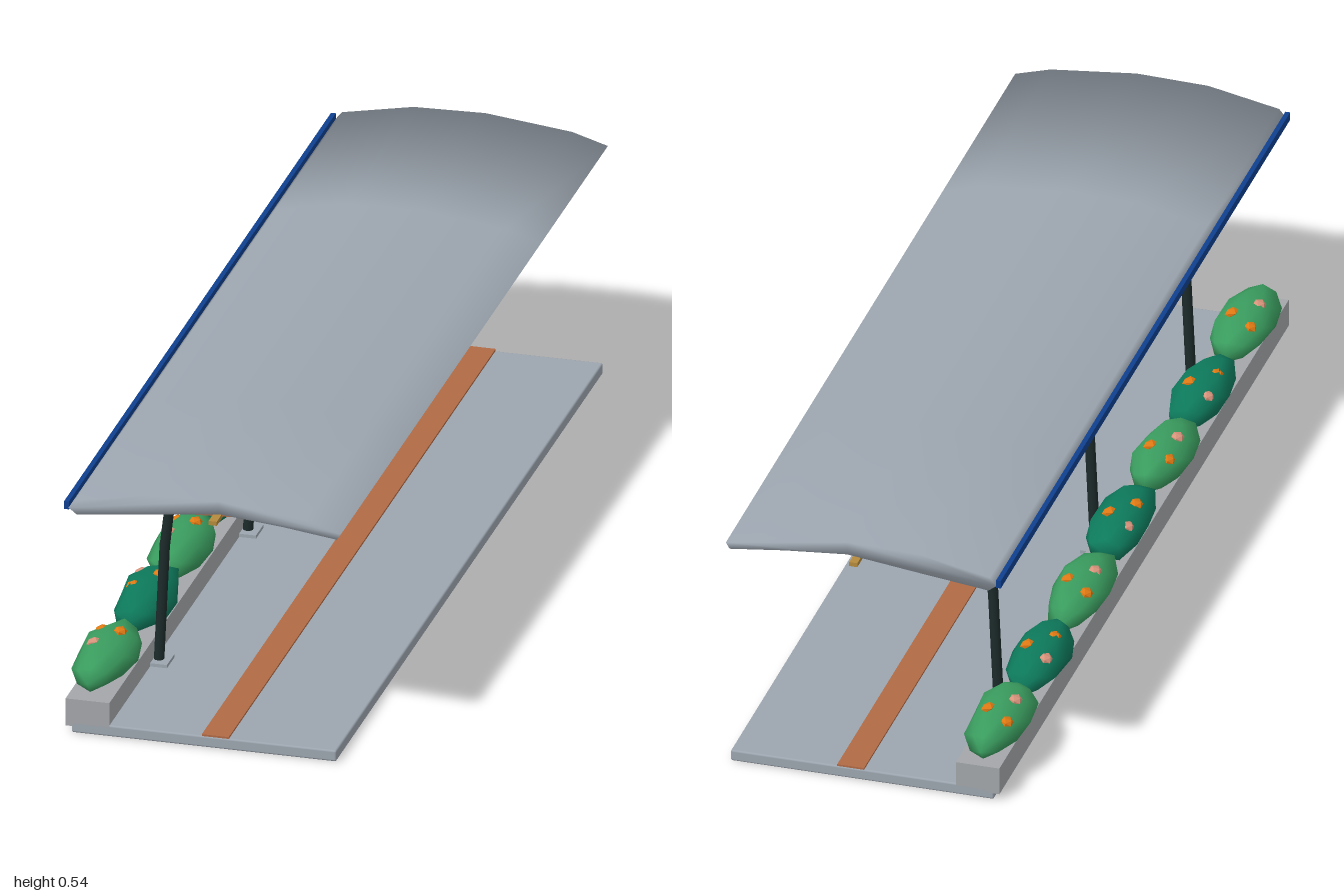
import * as THREE from 'three';
import { mergeVertices } from 'three/addons/utils/BufferGeometryUtils.js';
import { RoundedBoxGeometry } from 'three/addons/geometries/RoundedBoxGeometry.js';

const mat = (name, color) => {
  const m = new THREE.MeshStandardMaterial({ color });
  m.name = name;
  return m;
};

function seeded(seed) {
  let s = seed;
  return () => (s = (s * 16807) % 2147483647) / 2147483647;
}

// Canopy: one cross-section swept along z, smooth over the end caps
function canopyGeometry() {
  const profile = [
    [-0.272, 0.491], [-0.255, 0.478], [-0.1, 0.496], [0.04, 0.513], [0.17, 0.501], [0.286, 0.486],
    [0.294, 0.499], [0.22, 0.521], [0.04, 0.541], [-0.11, 0.537], [-0.258, 0.508],
  ];
  const rows = [-1, -0.5, 0, 0.5, 1];
  const n = profile.length;
  const pos = [], sides = [], caps = [];
  for (const z of rows) for (const [x, y] of profile) pos.push(x, y, z);
  for (let r = 0; r < rows.length - 1; r++) {
    for (let i = 0; i < n; i++) {
      const a = r * n + i, b = r * n + (i + 1) % n;
      sides.push(a, b, b + n, a, b + n, a + n);
    }
  }
  const outline = profile.map(([x, y]) => new THREE.Vector2(x, y));
  const last = (rows.length - 1) * n;
  for (const [a, b, c] of THREE.ShapeUtils.triangulateShape(outline, [])) {
    caps.push(a + last, b + last, c + last, c, b, a);
  }
  const g = new THREE.BufferGeometry();
  g.setAttribute('position', new THREE.Float32BufferAttribute(pos, 3));
  g.setIndex(sides);
  g.computeVertexNormals();
  // lean the end normals outward
  const nor = g.attributes.normal, v = new THREE.Vector3();
  for (let i = 0; i < n; i++) {
    for (const [k, dz] of [[i, -1.4], [i + last, 1.4]]) {
      v.fromBufferAttribute(nor, k);
      v.z += dz;
      v.normalize();
      nor.setXYZ(k, v.x, v.y, v.z);
    }
  }
  g.setIndex([...sides, ...caps]);
  return g;
}

// Lumpy rounded shrub with a flattened base
function bushGeometry(seed) {
  const rand = seeded(seed);
  let g = new THREE.IcosahedronGeometry(1, 1);
  g.deleteAttribute('normal');
  g.deleteAttribute('uv');
  g = mergeVertices(g, 1e-3);
  const p = g.attributes.position;
  for (let i = 0; i < p.count; i++) {
    const k = 0.9 + rand() * 0.2;
    const y = p.getY(i) * k;
    p.setXYZ(i, p.getX(i) * k * 0.058, y > 0 ? y * 0.046 : Math.max(y * 0.045, -0.03), p.getZ(i) * k * 0.143);
  }
  g.computeVertexNormals();
  return g;
}

export function createModel() {
  const model = new THREE.Group();
  model.name = 'platformShelter';
  const grey = mat('concreteGrey', 0x9ca5af);
  const stone = mat('planterGrey', 0xa3a6aa);
  const blue = mat('trimBlue', 0x0f3f8f);
  const dark = mat('steelDark', 0x1c2b2a);
  const brown = mat('terracottaBrown', 0xb06a45);
  const ochre = mat('beamOchre', 0xb58a3c);
  const lightGreen = mat('leafLight', 0x3a9d5f);
  const deepGreen = mat('leafDeep', 0x0d7a5c);
  const orange = mat('flowerOrange', 0xe07a14);
  const pink = mat('flowerPink', 0xd9947c);

  const add = (name, geo, material, parent = model) => {
    const m = new THREE.Mesh(geo, material);
    m.name = name;
    parent.add(m);
    return m;
  };
  const box = (name, material, x0, x1, y0, y1, z0, z1, parent) => {
    const m = add(name, new THREE.BoxGeometry(x1 - x0, y1 - y0, z1 - z0), material, parent);
    m.position.set((x0 + x1) / 2, (y0 + y1) / 2, (z0 + z1) / 2);
    return m;
  };
  // round bar between two points
  const bar = (name, a, b, r0, r1, parent) => {
    const p = new THREE.Vector3(...a), d = new THREE.Vector3(...b).sub(p);
    const m = add(name, new THREE.CylinderGeometry(r1, r0, d.length(), 10), dark, parent);
    m.position.copy(p).addScaledVector(d, 0.5);
    m.quaternion.setFromUnitVectors(new THREE.Vector3(0, 1, 0), d.normalize());
  };

  // Platform, guide strip and planter
  const slab = add('platform', new RoundedBoxGeometry(0.55, 0.024, 2, 2, 0.004), grey);
  slab.position.set(0.009, 0.012, 0);
  box('guideStrip', brown, 0.005, 0.061, 0.024, 0.028, -1, 1);
  box('planter', stone, -0.278, -0.187, 0.014, 0.073, -1, 1);

  // Roof
  add('canopy', canopyGeometry(), grey);
  box('edgeTrim', blue, -0.281, -0.271, 0.487, 0.504, -1, 1);
  box('purlin', ochre, 0.019, 0.036, 0.487, 0.496, -1, 1);
  const slats = new THREE.Group();
  slats.name = 'ceilingSlats';
  model.add(slats);
  const count = 22;
  for (let i = 0; i < count; i++) {
    const slat = add('slat', new THREE.BoxGeometry(0.39, 0.009, 0.034), brown, slats);
    slat.position.set(-0.025, 0.493, -0.945 + (1.89 * i) / (count - 1));
    slat.rotation.z = 0.05;
  }

  // Branching posts
  for (const z of [-0.667, 0, 0.667]) {
    const post = new THREE.Group();
    post.name = 'post';
    post.position.z = z;
    model.add(post);
    box('basePlate', grey, -0.187, -0.152, 0.024, 0.031, -0.028, 0.028, post);
    bar('postLower', [-0.176, 0.028, 0], [-0.164, 0.285, 0], 0.0105, 0.0105, post);
    bar('postUpper', [-0.164, 0.28, 0], [-0.14, 0.488, 0], 0.0105, 0.0095, post);
    bar('longStrut', [-0.155, 0.352, 0], [0.067, 0.489, 0], 0.008, 0.007, post);
    for (const s of [-1, 1]) {
      bar('sideStrut', [-0.153, 0.38, 0], [-0.14, 0.486, s * 0.125], 0.0065, 0.006, post);
    }
  }

  // Shrubs with small blossoms
  [0.835, 0.54, 0.27, -0.015, -0.3, -0.58, -0.85].forEach((z, i) => {
    const shrub = new THREE.Group();
    shrub.name = 'shrub';
    shrub.position.set(-0.237, 0.101, z);
    model.add(shrub);
    add('foliage', bushGeometry(71 + i * 977), i % 2 ? deepGreen : lightGreen, shrub);
    const blossoms = [
      [0.018, 0.042, -0.035, orange], [-0.024, 0.037, 0.02, i % 2 ? orange : pink], [-0.03, 0.03, -0.06, i % 2 ? pink : orange],
    ];
    for (const [x, y, dz, m] of blossoms) {
      const f = add('blossom', new THREE.IcosahedronGeometry(1, 0), m, shrub);
      f.scale.set(0.014, 0.007, 0.018);
      f.position.set(x, y, dz);
      f.rotation.z = -x * 14;
    }
  });

  return model;
}
